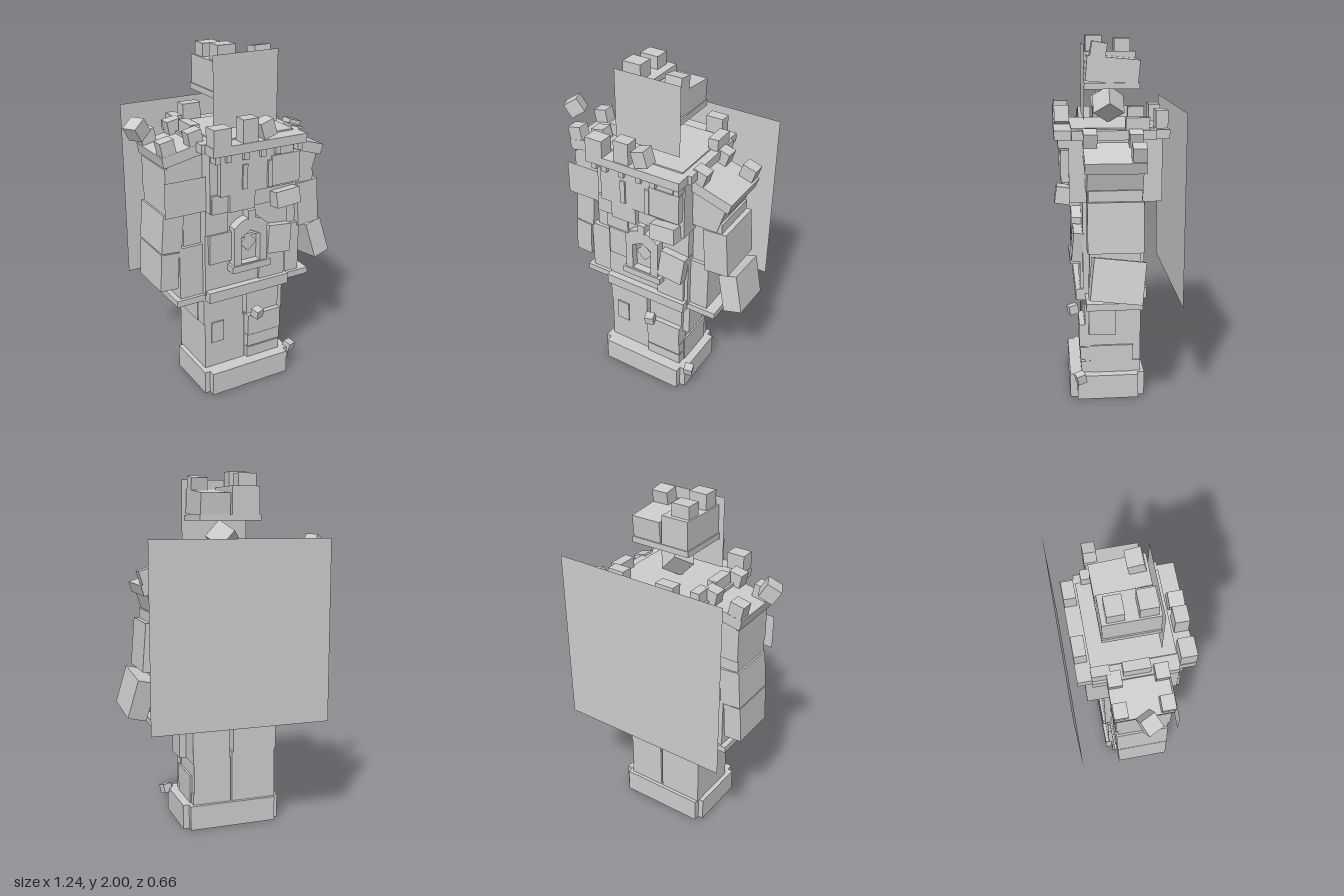
import * as THREE from 'three';

export function createModel() {
  const root = new THREE.Group();
  root.name = 'castleGolem';
  const stone = new THREE.MeshStandardMaterial({ color: 0xcccccc });
  stone.name = 'lightGreyStone';
  const sheet = new THREE.MeshStandardMaterial({ color: 0xcccccc, side: THREE.DoubleSide });
  sheet.name = 'lightGreySheet';

  const add = (name, geo, x, y, z, r = [0, 0, 0], parent = root, mat = stone) => {
    const m = new THREE.Mesh(geo, mat);
    m.name = name;
    m.position.set(x, y, z);
    m.rotation.set(r[0], r[1], r[2], 'ZYX');
    parent.add(m);
    return m;
  };
  // Box given by its limits, turned about its own centre
  const box = (name, x0, x1, y0, y1, z0, z1, r, parent) =>
    add(name, new THREE.BoxGeometry(x1 - x0, y1 - y0, z1 - z0),
      (x0 + x1) / 2, (y0 + y1) / 2, (z0 + z1) / 2, r, parent);
  // Block with notched corners; optional rectangular hole
  const notched = (name, X0, X1, x0, x1, Z0, Z1, z0, z1, y0, y1, hole) => {
    const v = (a, b) => new THREE.Vector2(a, -b);
    const s = new THREE.Shape([v(x0, Z1), v(x1, Z1), v(x1, z1), v(X1, z1), v(X1, z0), v(x1, z0),
      v(x1, Z0), v(x0, Z0), v(x0, z0), v(X0, z0), v(X0, z1), v(x0, z1)]);
    if (hole) {
      const [a, b, c, d] = hole;
      s.holes.push(new THREE.Path([v(a, c), v(b, c), v(b, d), v(a, d)]));
    }
    const g = new THREE.ExtrudeGeometry(s, { depth: y1 - y0, bevelEnabled: false });
    g.rotateX(-Math.PI / 2);
    return add(name, g, 0, y0, 0);
  };

  // Hollow foot plinth
  notched('plinth', -0.267, 0.306, -0.235, 0.271, -0.163, 0.255, -0.125, 0.215, 0, 0.14, [-0.21, 0.24, -0.11, 0.165]);

  // Legs
  box('rightLegLower', -0.24, 0.02, 0.13, 0.43, -0.143, 0.17);
  box('rightLegUpper', -0.247, 0.01, 0.43, 0.6, -0.143, 0.17);
  box('leftLegFoot', 0.03, 0.25, 0.13, 0.205, -0.143, 0.19);
  box('leftLegCore', 0.03, 0.245, 0.2, 0.4, -0.143, 0.17);
  box('leftLegStone', 0.03, 0.25, 0.215, 0.29, 0.12, 0.195);
  box('leftLegStone', 0.03, 0.25, 0.295, 0.425, 0.12, 0.2);
  box('leftLegUpper', 0.035, 0.25, 0.38, 0.6, -0.143, 0.17);
  box('rightLegStone', -0.2, -0.12, 0.3, 0.43, 0.15, 0.178);
  box('leftOuterStone', 0.24, 0.29, 0.38, 0.6, 0, 0.15);
  box('leftOuterFoot', 0.24, 0.257, 0.13, 0.3, -0.1, 0.14);
  box('rightOuterStone', -0.252, -0.23, 0.43, 0.6, -0.1, 0.1);
  box('legPebble', 0.045, 0.097, 0.428, 0.48, 0.205, 0.257, [0.2, 0.3, 0.1]);
  box('footPebble', 0.295, 0.347, 0.113, 0.165, 0.173, 0.225, [0.2, 0.3, -0.1]);

  // Belt
  box('beltWide', -0.41, 0.46, 0.587, 0.625, -0.13, 0.17);
  box('beltCentre', -0.235, 0.285, 0.587, 0.65, -0.17, 0.22);

  // Lower torso and hips
  box('waist', -0.24, 0.29, 0.62, 1.16, -0.155, 0.18);
  box('rightHip', -0.38, -0.22, 0.62, 0.93, -0.12, 0.15);
  box('leftHip', 0.28, 0.4, 0.62, 0.93, -0.12, 0.15);
  box('rightFlank', -0.345, -0.22, 0.93, 1.16, -0.11, 0.13);
  box('leftFlank', 0.28, 0.38, 0.93, 1.16, -0.11, 0.13);
  box('bellyStone', -0.22, -0.085, 0.815, 0.99, 0.15, 0.2);
  box('bellyStone', -0.24, -0.1, 0.99, 1.14, 0.15, 0.19);
  box('bellyStone', 0.1, 0.27, 0.65, 0.8, 0.15, 0.195);
  box('looseBellyStone', 0.135, 0.285, 0.81, 0.975, 0.15, 0.235, [-0.08, 0, -0.1]);

  // Chest with a raised front panel
  box('chest', -0.245, 0.3, 1.14, 1.48, -0.245, 0.25);
  box('chestPanel', -0.2, 0.25, 1.24, 1.476, 0.2, 0.285);
  box('chestStone', -0.14, 0.015, 1.14, 1.245, 0.2, 0.28);
  box('chestStone', -0.24, -0.145, 1.14, 1.245, 0.2, 0.265);
  box('chestStone', 0.11, 0.29, 1.25, 1.42, 0.2, 0.292);
  box('looseChestStone', 0.13, 0.28, 1.125, 1.215, 0.24, 0.322, [-0.15, 0, 0.07]);
  box('arrowSlit', -0.07, -0.04, 1.265, 1.4, 0.27, 0.295);
  box('arrowSlit', 0.085, 0.112, 1.25, 1.4, 0.27, 0.298);

  // Battlement deck
  notched('deck', -0.283, 0.328, -0.263, 0.308, -0.283, 0.325, -0.21, 0.235, 1.475, 1.525);
  box('deckPlate', -0.2, 0.277, 1.5, 1.533, -0.205, 0.235);
  for (const x of [-0.225, -0.16, -0.055, 0.05, 0.14, 0.28])
    box('corbel', x - 0.015, x + 0.015, 1.43, 1.476, 0.24, 0.305);
  [[-0.26, -0.155, 0.24, 0.325, 1.62], [-0.085, 0.005, 0.245, 0.32, 1.65],
    [-0.16, -0.05, -0.28, -0.215, 1.62], [0.155, 0.255, -0.28, -0.215, 1.62],
    [0.262, 0.32, -0.175, -0.05, 1.59], [-0.27, -0.215, -0.21, -0.115, 1.59],
    [-0.27, -0.215, -0.05, 0.09, 1.59]].forEach(([a, b, c, d, h]) => box('merlon', a, b, 1.52, h, c, d));
  box('leaningMerlon', 0.03, 0.11, 1.535, 1.625, 0.24, 0.32, [0, 0, 0.3]);

  // Door with pointed frame
  const arch = (w, y0, y1, y2) => [[-w, y0], [w, y0], [w, y1], [w * 0.6, y2 - 0.02], [0, y2], [-w * 0.6, y2 - 0.02], [-w, y1]]
    .map(p => new THREE.Vector2(...p));
  const frame = new THREE.Shape(arch(0.105, 0.78, 1.015, 1.07));
  frame.holes.push(new THREE.Path(arch(0.06, 0.795, 0.955, 0.99)));
  add('doorFrame', new THREE.ExtrudeGeometry(frame, { depth: 0.085, bevelEnabled: false }), 0.02, 0, 0.15);
  box('doorLeaf', -0.045, 0.085, 0.79, 1.005, 0.16, 0.19);
  box('doorLintel', -0.04, 0.08, 0.945, 0.96, 0.18, 0.21, [0, 0, 0.08]);
  box('doorDiamond', -0.018, 0.058, 0.867, 0.943, 0.18, 0.205, [0, 0, Math.PI / 4]);
  box('doorStep', -0.1, 0.145, 0.75, 0.79, 0.16, 0.245);
  box('keystone', 0, 0.043, 1.055, 1.11, 0.16, 0.24);

  // Shoulders: a sloping capped block with small merlons
  const shoulder = (name, x, y, tilt, half, drop, merlons) => {
    const g = new THREE.Group();
    g.name = name;
    g.position.set(x, y, 0.02);
    g.rotation.z = tilt;
    root.add(g);
    box('shoulderCap', -half, half, -0.03, 0.03, -0.157, 0.157, undefined, g);
    box('shoulderBlock', 0.02 - half, half - 0.02, -drop, -0.03, -0.145, 0.145, undefined, g);
    for (const [cx, cz] of merlons)
      box('shoulderMerlon', cx - 0.04, cx + 0.04, 0.03, 0.105, cz - 0.036, cz + 0.036, undefined, g);
  };
  shoulder('leftShoulder', 0.39, 1.4, -0.3, 0.137, 0.19, [[-0.08, -0.12], [-0.08, 0.12], [0.085, -0.12]]);
  shoulder('rightShoulder', -0.35, 1.465, 0.2, 0.127, 0.16, [[-0.08, -0.12], [-0.08, 0.12], [0.08, -0.12], [0.08, 0.12]]);

  // Left arm
  box('leftElbowBand', 0.28, 0.475, 1.18, 1.24, -0.12, 0.16);
  box('leftForearm', 0.375, 0.515, 0.915, 1.18, -0.125, 0.165, [0, 0, 0.08]);
  box('leftFist', 0.48, 0.587, 0.668, 0.888, -0.12, 0.152, [-0.12, 0.07, 0.25]);
  // Right arm
  box('rightUpperArm', -0.46, -0.23, 1.21, 1.4, -0.125, 0.165);
  box('rightElbowBand', -0.46, -0.23, 1.14, 1.21, -0.115, 0.155);
  box('rightForearm', -0.48, -0.36, 0.92, 1.14, -0.125, 0.155, [0, 0, -0.08]);
  box('rightFist', -0.495, -0.39, 0.7, 0.915, -0.12, 0.155, [0, 0, -0.06]);

  // Floating stones
  box('neckStone', -0.042, 0.08, 1.569, 1.691, -0.043, 0.079, [0, Math.PI / 4, 0.75]);
  box('driftingStone', -0.588, -0.502, 1.55, 1.636, -0.018, 0.068, [0.2, 0.4, 0.6]);

  // Hovering head in two halves
  const t = [-0.09, 0, 0];
  box('jawSlab', -0.152, 0.2, 1.727, 1.76, -0.135, 0.16);
  box('headRightHalf', -0.145, 0.015, 1.75, 1.915, -0.13, 0.158);
  box('headLeftHalf', 0.025, 0.195, 1.757, 1.89, -0.133, 0.15, t);
  box('headMerlon', -0.135, -0.03, 1.9, 1.985, -0.105, -0.018);
  box('headMerlon', -0.135, -0.03, 1.9, 2, 0.05, 0.142);
  box('headMerlon', 0.1, 0.195, 1.885, 1.97, 0.042, 0.125, [-0.17, 0, 0]);

  // Flat sheets
  const flat = (name, x0, x1, y0, y1, z) => add(name, new THREE.PlaneGeometry(x1 - x0, y1 - y0),
    (x0 + x1) / 2, (y0 + y1) / 2, z, undefined, root, sheet);
  flat('backSheet', -0.485, 0.535, 0.615, 1.635, -0.332);
  flat('faceSheet', -0.175, 0.217, 1.565, 1.957, 0.163);
  flat('armSheet', -0.485, -0.24, 1.145, 1.34, 0.205);

  return root;
}
